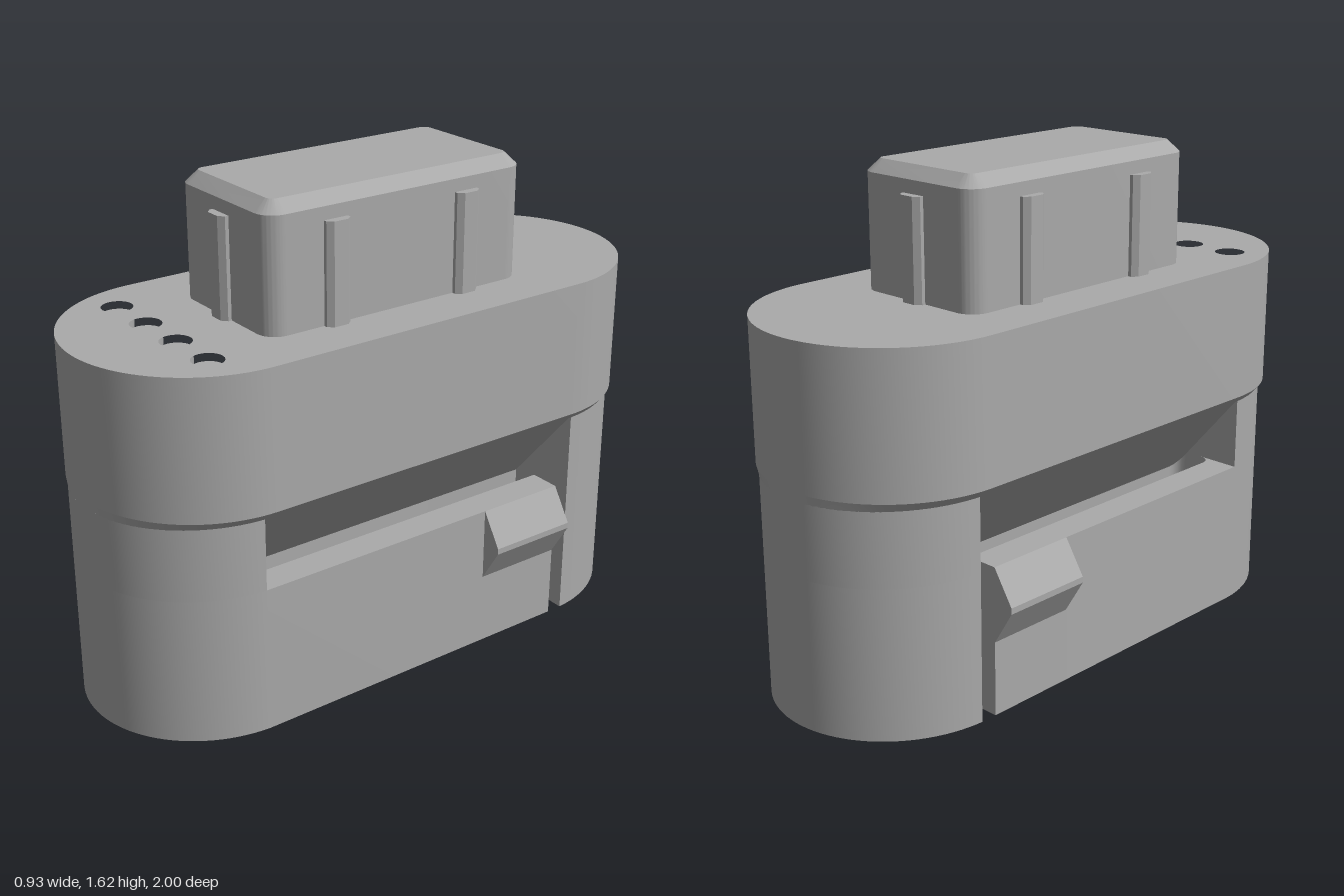
import * as THREE from 'three';
import { toCreasedNormals } from 'three/addons/utils/BufferGeometryUtils.js';

const W = 0.395, W_TOP = 0.42;           // half widths of lower and upper body
const CORE = 0.14, ARM_IN = 0.29;        // slot walls
const Z_FRONT = 0.61, Z_BACK = -0.605, ARM_END = -0.55;

// Half-elliptic end cap, from +x to -x at the front, -x to +x at the back
function cap(w, sign, zStart) {
  const t0 = Math.asin((Math.abs(zStart) - 0.58) / 0.42), n = 48, pts = [];
  for (let i = 0; i <= n; i++) {
    const t = t0 + (Math.PI - 2 * t0) * i / n;
    pts.push([sign * w * Math.cos(t), sign * (0.58 + 0.42 * Math.sin(t))]);
  }
  return pts;
}

function corner(cx, cz, r, from) {
  return [0, 1, 2, 3, 4].map(i => {
    const t = from + i * Math.PI / 8;
    return [cx + r * Math.cos(t), cz + r * Math.sin(t)];
  });
}

// Body outline with side recesses, with or without the latch arms
function slottedOutline(withArms) {
  const r = 0.04, side = [];
  if (withArms) {
    side.push([W, ARM_END], [ARM_IN, ARM_END], ...corner(ARM_IN - r, Z_FRONT - r, r, 0));
  }
  side.push(...corner(CORE + r, Z_FRONT - r, r, Math.PI / 2), [CORE, Z_BACK]);
  return [
    ...cap(W, 1, Z_FRONT), ...side.map(([x, z]) => [-x, z]),
    ...cap(W, -1, Z_BACK), ...side.slice().reverse(),
  ];
}

const toShape = pts => new THREE.Shape(pts.map(([x, z]) => new THREE.Vector2(x, -z)));

// Extrude an x-z outline upward from y0 to y1
function rise(shape, y0, y1, options = {}) {
  const g = new THREE.ExtrudeGeometry(shape, { depth: y1 - y0, bevelEnabled: false, curveSegments: 12, ...options });
  return g.rotateX(-Math.PI / 2).translate(0, y0, 0);
}

export function createModel() {
  const group = new THREE.Group();
  const grey = new THREE.MeshStandardMaterial({ color: 0xaaaaaa });
  grey.name = 'grey plastic';
  const add = (name, geometry) => {
    const mesh = new THREE.Mesh(toCreasedNormals(geometry, 0.4), grey);
    mesh.name = name;
    group.add(mesh);
    return mesh;
  };

  // Lower body: arms and slots below, open windows above
  add('lowerBody', rise(toShape(slottedOutline(true)), 0, 0.49));
  add('windowBody', rise(toShape(slottedOutline(false)), 0.49, 0.73));

  // Sloping lip between the narrow and wide bodies
  const stadium = [...cap(W_TOP, 1, 0.58), ...cap(W_TOP, -1, 0.58)];
  const lip = rise(toShape(stadium), 0.728, 0.755);
  const p = lip.attributes.position;
  for (let i = 0; i < p.count; i++) {
    if (p.getY(i) < 0.74) p.setX(i, p.getX(i) * W / W_TOP);
  }
  add('lip', lip);

  // Upper body with four shallow round holes
  const upper = toShape(stadium);
  for (const x of [-0.265, -0.088, 0.088, 0.265]) {
    const hole = new THREE.Path();
    hole.absarc(x, -0.705, 0.05, 0, Math.PI * 2, true);
    upper.holes.push(hole);
    const floor = new THREE.CircleGeometry(0.051, 24).rotateX(-Math.PI / 2);
    add('holeFloor', floor.translate(x, 1.185, 0.705));
  }
  add('upperBody', rise(upper, 0.755, 1.21));

  for (const s of [-1, 1]) {
    const prism = (pts, z0, z1) => new THREE.ExtrudeGeometry(
      new THREE.Shape(pts.map(([x, y]) => new THREE.Vector2(s * x, y))),
      { depth: z1 - z0, bevelEnabled: false }).translate(0, 0, z0);
    // Sloping roof inside the side window
    add('windowRoof', prism([[CORE, 0.435], [W, 0.735], [CORE, 0.735]], Z_BACK, Z_FRONT));
    // Catch on the free end of the arm
    add('latchCatch', prism([[W - 0.01, 0.245], [W, 0.245], [0.465, 0.36], [0.465, 0.38], [W, 0.49], [W - 0.01, 0.49]], ARM_END, -0.24));
  }

  // Plug with rounded corners and chamfered top
  const hx = 0.245, hz = 0.485, r = 0.065;
  const plug = new THREE.Shape();
  plug.absarc(hx - r, hz - r, r, 0, Math.PI / 2);
  plug.absarc(-hx + r, hz - r, r, Math.PI / 2, Math.PI);
  plug.absarc(-hx + r, -hz + r, r, Math.PI, Math.PI * 1.5);
  plug.absarc(hx - r, -hz + r, r, Math.PI * 1.5, Math.PI * 2);
  add('plug', rise(plug, 1.14, 1.577, {
    bevelEnabled: true, bevelThickness: 0.038, bevelSize: 0.04, bevelOffset: -0.04, bevelSegments: 1,
  }));

  // Crush ribs around the plug
  const rib = toShape([[-0.01, 0.043], [0.012, 0.043], [0.028, 0.025], [0.028, -0.025], [0.012, -0.043], [-0.01, -0.043]]);
  const addRib = (x, z, angle) => {
    const mesh = add('plugRib', rise(rib, 1.2, 1.535));
    mesh.position.set(x, 0, z);
    mesh.rotation.y = angle;
  };
  for (const z of [-0.245, 0.245]) {
    addRib(hx, z, 0);
    addRib(-hx, z, Math.PI);
  }
  addRib(0, hz, -Math.PI / 2);
  addRib(0, -hz, Math.PI / 2);

  return group;
}
